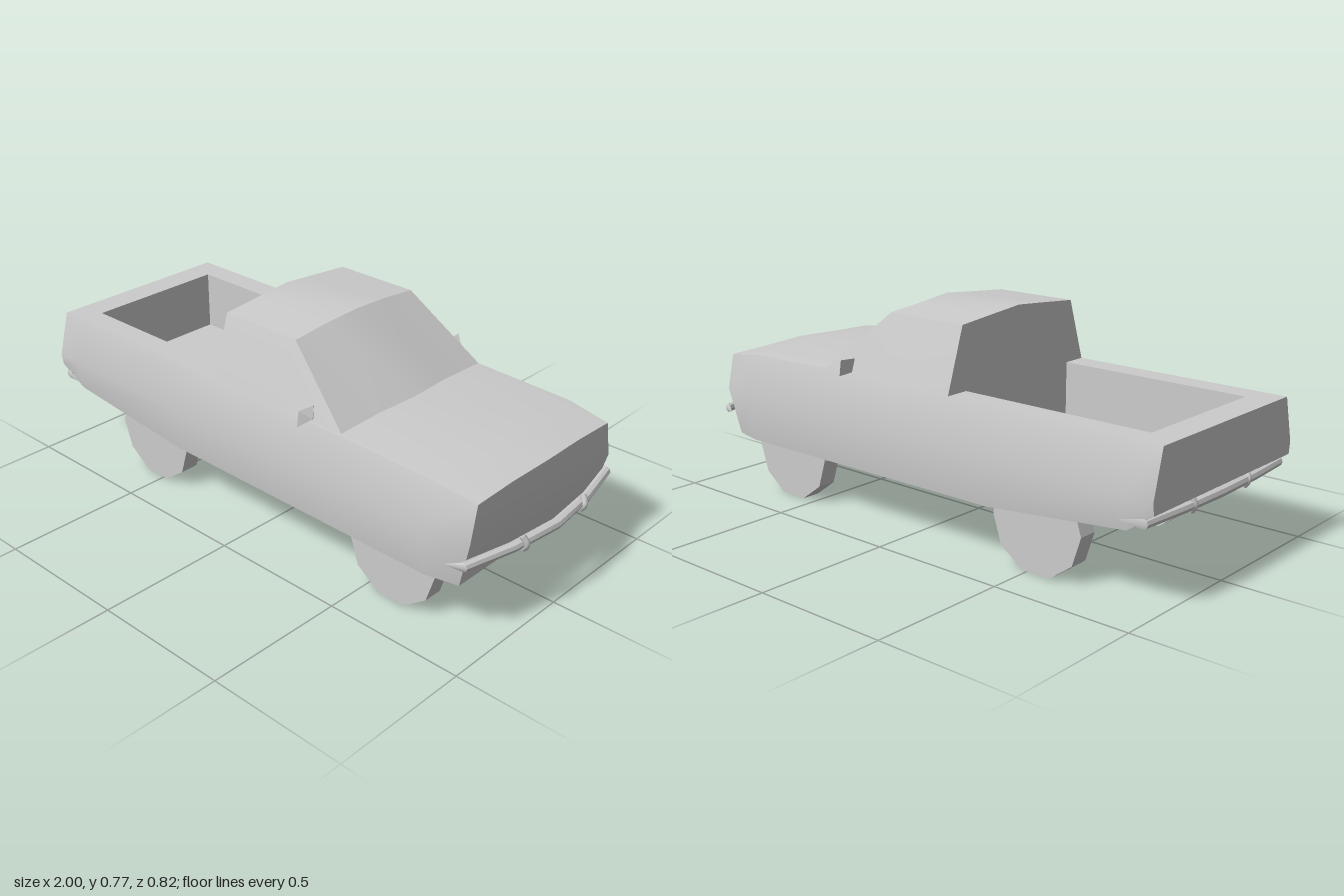
import * as THREE from 'three';
import { toCreasedNormals } from 'three/addons/utils/BufferGeometryUtils.js';

const material = new THREE.MeshStandardMaterial({ color: 0xcccccc });
const flatMaterial = new THREE.MeshStandardMaterial({ color: 0xcccccc, flatShading: true });

function addMesh(parent, name, geometry, mat = material) {
  const mesh = new THREE.Mesh(geometry, mat);
  mesh.name = name;
  parent.add(mesh);
  return mesh;
}

// Skin a list of equal rings ([x, y, z] points) and close both ends with strips.
function loft(rings) {
  const n = rings[0].length;
  const index = [];
  const quad = (a, b, c, d) => index.push(a, b, c, a, c, d);
  for (let r = 0; r < rings.length - 1; r++) {
    for (let j = 0; j < n; j++) {
      const a = r * n + j, b = r * n + (j + 1) % n;
      quad(a, a + n, b + n, b);
    }
  }
  const end = (rings.length - 1) * n;
  for (let i = 0; i < Math.floor(n / 2); i++) {
    const p = [i, i + 1, n - 2 - i, n - 1 - i];
    quad(...p);
    quad(...p.map((k) => k + end).reverse());
  }
  const geometry = new THREE.BufferGeometry();
  geometry.setAttribute('position', new THREE.Float32BufferAttribute(rings.flat(2), 3));
  geometry.setIndex(index);
  return toCreasedNormals(geometry, 0.5);
}

// Symmetric body section: sill, waist, shoulder, two inner or roof points, centre.
function section(x, sill, waist, shoulder, outer, inner, centreY, dx = {}) {
  const half = [sill, waist, shoulder, outer, inner].map(([z, y], i) =>
    [x + (i === 0 ? dx.sill || 0 : 0), y, z]);
  const mirrored = half.map(([px, y, z]) => [px, y, -z]).reverse();
  return [...half, [x + (dx.centre || 0), centreY, 0], ...mirrored];
}

function bodyGeometry() {
  const waist = [0.398, 0.36], shoulder = [0.356, 0.52];
  const rail = [0.268, 0.52], floor = [0.268, 0.3];
  const roof = [0.285, 0.742], roofInner = [0.14, 0.755];
  const sill = (y) => [0.38, y];
  return loft([
    // tailgate
    section(-1, [0.392, 0.32], waist, shoulder, rail, rail, 0.52),
    section(-0.9, [0.382, 0.25], waist, shoulder, rail, rail, 0.52),
    // open bed
    section(-0.9, [0.382, 0.25], waist, shoulder, rail, floor, 0.3),
    section(-0.36, sill(0.195), waist, shoulder, rail, floor, 0.3),
    section(-0.18, sill(0.195), waist, shoulder, rail, floor, 0.3),
    // cab and windscreen
    section(-0.18, sill(0.195), waist, shoulder, roof, roofInner, 0.767),
    section(0.14, sill(0.193), waist, shoulder, roof, roofInner, 0.767, { centre: 0.01 }),
    section(0.395, sill(0.192), waist, shoulder, [0.345, 0.521], [0.17, 0.526], 0.531, { centre: 0.015 }),
    // bonnet and nose
    section(0.77, sill(0.19), waist, [0.354, 0.51], [0.344, 0.511], [0.17, 0.517], 0.523),
    section(0.928, [0.354, 0.19], [0.37, 0.36], [0.342, 0.487], [0.33, 0.488], [0.17, 0.493], 0.499,
      { sill: -0.043, centre: 0.008 }),
  ]);
}

// Tapered bar along z through [z, x, radius] stations.
function barGeometry(stations, y) {
  return loft(stations.map(([z, x, r]) => Array.from({ length: 8 }, (_, i) => {
    const t = (i / 8) * Math.PI * 2;
    return [x + r * Math.cos(t), y - r * Math.sin(t), z];
  })));
}

function bumper(name, halfStations, y, guardX, direction) {
  const group = new THREE.Group();
  group.name = name;
  const mirrored = halfStations.slice(0, -1).reverse().map(([z, x, r]) => [-z, x, r]);
  addMesh(group, name + 'Bar', barGeometry([...halfStations, ...mirrored], y));
  for (const side of [-1, 1]) {
    const z = side * 0.16;
    const curve = new THREE.CatmullRomCurve3([
      new THREE.Vector3(guardX, y - 0.022, z - side * 0.006),
      new THREE.Vector3(guardX + direction * 0.014, y, z - side * 0.004),
      new THREE.Vector3(guardX, y + 0.028, z + side * 0.004),
    ]);
    addMesh(group, name + 'Guard', new THREE.TubeGeometry(curve, 6, 0.011, 8));
  }
  return group;
}

export function createModel() {
  const truck = new THREE.Group();
  truck.name = 'pickupTruck';
  addMesh(truck, 'body', bodyGeometry());

  // Ten-sided wheels standing on a flat
  const wheel = new THREE.CylinderGeometry(0.175, 0.175, 0.07, 10);
  wheel.rotateY(Math.PI / 10).rotateX(Math.PI / 2);
  for (const [name, x] of [['rearWheel', -0.535], ['frontWheel', 0.61]]) {
    for (const side of [-1, 1]) {
      addMesh(truck, name, wheel, flatMaterial).position.set(x, 0.1664, side * 0.307);
    }
  }

  // Bumpers with pointed, wrapped ends
  truck.add(bumper('frontBumper',
    [[-0.408, 0.87, 0.002], [-0.385, 0.918, 0.016], [-0.2, 0.961, 0.017], [0, 0.982, 0.018]], 0.288, 0.97, 1));
  truck.add(bumper('rearBumper',
    [[-0.406, -0.89, 0.002], [-0.392, -0.965, 0.016], [-0.2, -0.978, 0.017], [0, -0.982, 0.018]], 0.288, -0.975, -1));

  // Wing mirrors: small pyramids pointing forward
  for (const side of [-1, 1]) {
    const corners = [[0.527, 0.335], [0.572, 0.335], [0.577, 0.404], [0.523, 0.412]];
    const base = corners.map(([y, z]) => [0.267, y, side * z]);
    const tip = corners.map(() => [0.302, 0.55, side * 0.377]);
    if (side > 0) { base.reverse(); tip.reverse(); }
    addMesh(truck, side > 0 ? 'leftMirror' : 'rightMirror', loft([base, tip]));
  }
  return truck;
}
